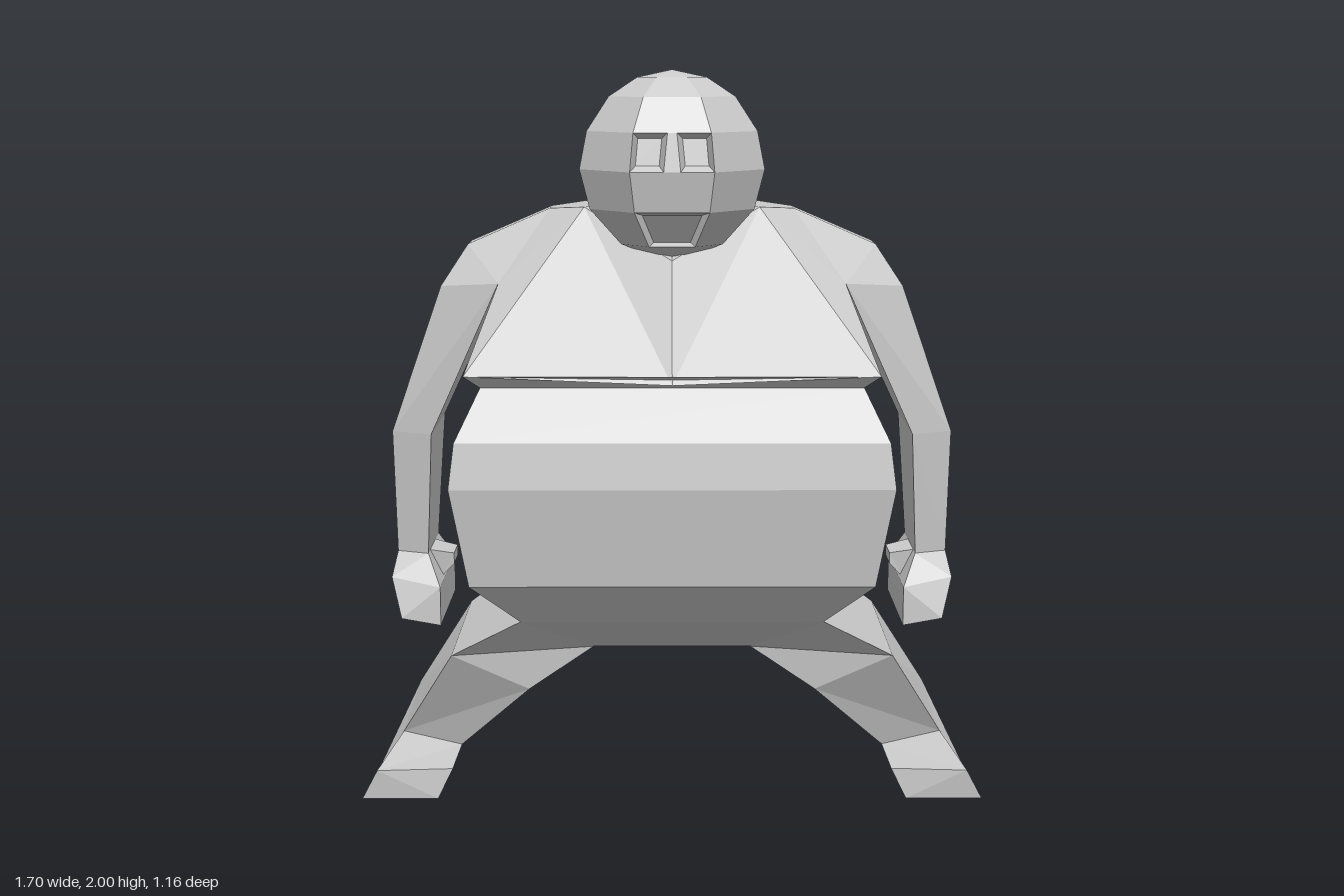
import * as THREE from 'three';

const material = new THREE.MeshStandardMaterial({ color: 0xcccccc, flatShading: true, side: THREE.DoubleSide });

const V = (x, y, z) => new THREE.Vector3(x, y, z);
const centroid = (pts) => pts.reduce((sum, p) => sum.add(p), V(0, 0, 0)).divideScalar(pts.length);

// Collects polygons as triangle fans; each triangle is turned to face away from an inner point.
class Shell {
  constructor() { this.pos = []; }
  face(pts, inside) {
    for (let i = 1; i < pts.length - 1; i++) {
      let [a, b, c] = [pts[0], pts[i], pts[i + 1]];
      const n = b.clone().sub(a).cross(c.clone().sub(a));
      if (n.dot(centroid([a, b, c]).sub(inside)) < 0) [b, c] = [c, b];
      for (const p of [a, b, c]) this.pos.push(p.x, p.y, p.z);
    }
  }
  loft(rings, capStart = false, capEnd = false) {
    for (let r = 0; r < rings.length - 1; r++) {
      const [a, b] = [rings[r], rings[r + 1]];
      const mid = centroid([...a, ...b]);
      a.forEach((p, i) => {
        const j = (i + 1) % a.length;
        this.face([p, a[j], b[j], b[i]], mid);
      });
      if (r === 0 && capStart) this.face(a, mid);
      if (r === rings.length - 2 && capEnd) this.face(b, mid);
    }
  }
  mesh(name) {
    const g = new THREE.BufferGeometry();
    g.setAttribute('position', new THREE.Float32BufferAttribute(this.pos, 3));
    g.computeVertexNormals();
    const m = new THREE.Mesh(g, material);
    m.name = name;
    return m;
  }
}

// Square barrel belly, ending in the small overhang under the chest
function belly() {
  const shell = new Shell();
  const profile = [[0.22, 0.405], [0.41, 0.53], [0.535, 0.66], [0.58, 0.93], [0.565, 1.05], [0.5, 1.185], [0.54, 1.22]];
  const rings = profile.map(([h, y]) => [V(h, y, h), V(h, y, -h), V(-h, y, -h), V(-h, y, h)]);
  shell.loft(rings, true, false);
  return shell.mesh('belly');
}

// Shared shoulder points for one side
function shoulderPoints(s) {
  const P = (x, y, z) => V(s * x, y, z);
  return {
    neckF: P(0.24, 1.63, 0.15), neckB: P(0.24, 1.63, -0.14),
    topF: P(0.34, 1.62, 0.05), topB: P(0.34, 1.62, -0.06),
    capF: P(0.57, 1.52, 0.045), capB: P(0.57, 1.52, -0.09),
    outF: P(0.64, 1.41, 0.12), outB: P(0.64, 1.41, -0.13),
    pitF: P(0.47, 1.43, 0.25), pitB: P(0.47, 1.43, -0.25),
    hemF: P(0.54, 1.22, 0.54), hemB: P(0.54, 1.22, -0.54),
  };
}

// Sloping chest and back, flaring out to the hem
function chest() {
  const shell = new Shell();
  const inside = V(0, 1.3, 0);
  const collar = V(0, 1.5, 0.34), hem = V(0, 1.197, 0.54);
  const nape = V(0, 1.63, -0.18), backHem = V(0, 1.22, -0.54);
  for (const s of [1, -1]) {
    const p = shoulderPoints(s);
    shell.face([p.neckF, p.hemF, hem], inside);
    shell.face([p.neckF, hem, collar], inside);
    shell.face([nape, backHem, p.hemB, p.neckB], inside);
    shell.face([p.neckF, p.pitF, p.hemF], inside);
    shell.face([p.neckB, p.pitB, p.hemB], inside);
    shell.face([p.hemF, p.pitF, p.pitB, p.hemB], inside);
    shell.face([nape, p.neckB, p.neckF, collar], inside);
  }
  return shell.mesh('chest');
}

// Shoulder, tapering arm, fist and thumb
function arm(s) {
  const P = (x, y, z) => V(s * x, y, z);
  const p = shoulderPoints(s);
  const shell = new Shell();
  const inside = P(0.42, 1.42, 0);
  for (const k of ['F', 'B']) {
    shell.face([p['pit' + k], p['neck' + k], p['top' + k], p['cap' + k], p['out' + k]], inside);
  }
  const ridge = ['neck', 'top', 'cap', 'out'];
  for (let i = 0; i < 3; i++) {
    const [a, b] = [ridge[i], ridge[i + 1]];
    shell.face([p[a + 'F'], p[a + 'B'], p[b + 'B'], p[b + 'F']], inside);
  }
  shell.loft([
    [p.pitF, p.outF, p.outB, p.pitB],
    [P(0.67, 1.0, 0.165), P(0.785, 1.0, 0.11), P(0.785, 1.0, -0.095), P(0.67, 1.0, -0.185)],
    [P(0.69, 0.65, 0.125), P(0.78, 0.65, 0.09), P(0.78, 0.65, -0.065), P(0.69, 0.65, -0.13)],
    [P(0.65, 0.57, 0.2), P(0.79, 0.59, 0.16), P(0.79, 0.59, -0.14), P(0.65, 0.57, -0.19)],
    [P(0.65, 0.46, 0.2), P(0.76, 0.48, 0.2), P(0.76, 0.48, -0.19), P(0.65, 0.46, -0.19)],
  ], false, true);
  shell.loft([
    [P(0.69, 0.65, 0.08), P(0.69, 0.65, -0.05), P(0.66, 0.57, -0.05), P(0.66, 0.57, 0.08)],
    [P(0.62, 0.645, 0.1), P(0.62, 0.645, 0.0), P(0.62, 0.615, 0.0), P(0.62, 0.615, 0.1)],
  ], false, true);
  return shell.mesh(s > 0 ? 'leftArm' : 'rightArm');
}

// Splayed leg growing from the belly's lower side
function leg(s) {
  const P = (x, y, z) => V(s * x, y, z);
  const shell = new Shell();
  shell.loft([
    [P(0.41, 0.53, 0.41), P(0.41, 0.53, -0.41), P(0.22, 0.405, -0.22), P(0.22, 0.405, 0.22)],
    [P(0.61, 0.405, 0.31), P(0.61, 0.405, -0.26), P(0.4, 0.29, -0.2), P(0.4, 0.29, 0.25)],
    [P(0.765, 0.14, 0.17), P(0.75, 0.2, -0.12), P(0.6, 0.1, -0.12), P(0.6, 0.1, 0.17)],
  ]);
  return shell.mesh(s > 0 ? 'leftLeg' : 'rightLeg');
}

// Wedge foot running from heel to toe
function foot(s) {
  const P = (x, y, z) => V(s * x, y, z);
  const shell = new Shell();
  shell.loft([
    [P(0.75, 0.2, -0.12), P(0.83, 0.03, -0.12), P(0.64, 0.01, -0.1), P(0.6, 0.1, -0.12)],
    [P(0.765, 0.14, 0.17), P(0.84, 0.025, 0.17), P(0.645, 0, 0.17), P(0.6, 0.1, 0.17)],
    [P(0.81, 0.105, 0.4), P(0.852, 0.025, 0.4), P(0.65, 0.005, 0.35), P(0.61, 0.085, 0.33)],
  ], true, true);
  return shell.mesh(s > 0 ? 'leftFoot' : 'rightFoot');
}

// Seven-sided round head with sunken eyes and mouth on its front strip
function head() {
  const shell = new Shell();
  const inside = V(0, 1.74, 0.25);
  const far = V(0, 1.7, -100);
  const rows = [[0.095, 1.98], [0.172, 1.93], [0.232, 1.84], [0.252, 1.74], [0.225, 1.635], [0.14, 1.54], [0.05, 1.505]];
  const rings = rows.map(([r, y]) => Array.from({ length: 7 }, (_, k) => {
    const a = (k * Math.PI * 2) / 7;
    return V(r * Math.sin(a), y, 0.25 - r * Math.cos(a));
  }));
  const recess = (quad, inset, depth) => {
    const mid = centroid(quad);
    const floor = quad.map((p) => p.clone().lerp(mid, inset).add(V(0, 0, -depth)));
    quad.forEach((p, i) => {
      const j = (i + 1) % 4;
      shell.face([p, quad[j], floor[j], floor[i]], far);
    });
    shell.face(floor, far);
  };
  for (let r = 0; r < rings.length - 1; r++) {
    for (let k = 0; k < 7; k++) {
      const j = (k + 1) % 7;
      const [a, b, c, d] = [rings[r][k], rings[r][j], rings[r + 1][j], rings[r + 1][k]];
      if (k === 3 && r === 2) {
        // Eyes either side of a narrow nose bridge
        const top = (t) => a.clone().lerp(b, t), low = (t) => d.clone().lerp(c, t);
        recess([top(0), top(0.44), low(0.4), low(0)], 0.3, 0.035);
        recess([top(0.56), top(1), low(1), low(0.6)], 0.3, 0.035);
        shell.face([top(0.44), top(0.56), low(0.6), low(0.4)], far);
      } else if (k === 3 && r === 4) {
        recess([a, b, c, d], 0.2, 0.04);
      } else {
        shell.face([a, b, c, d], inside);
      }
    }
  }
  const crown = V(0, 2, 0.25);
  rings[0].forEach((p, i) => shell.face([crown, p, rings[0][(i + 1) % 7]], inside));
  shell.face(rings[rings.length - 1], inside);
  return shell.mesh('head');
}

export function createModel() {
  const model = new THREE.Group();
  model.name = 'stockyFigure';
  model.add(belly(), chest(), head());
  for (const s of [1, -1]) model.add(arm(s), leg(s), foot(s));
  return model;
}
